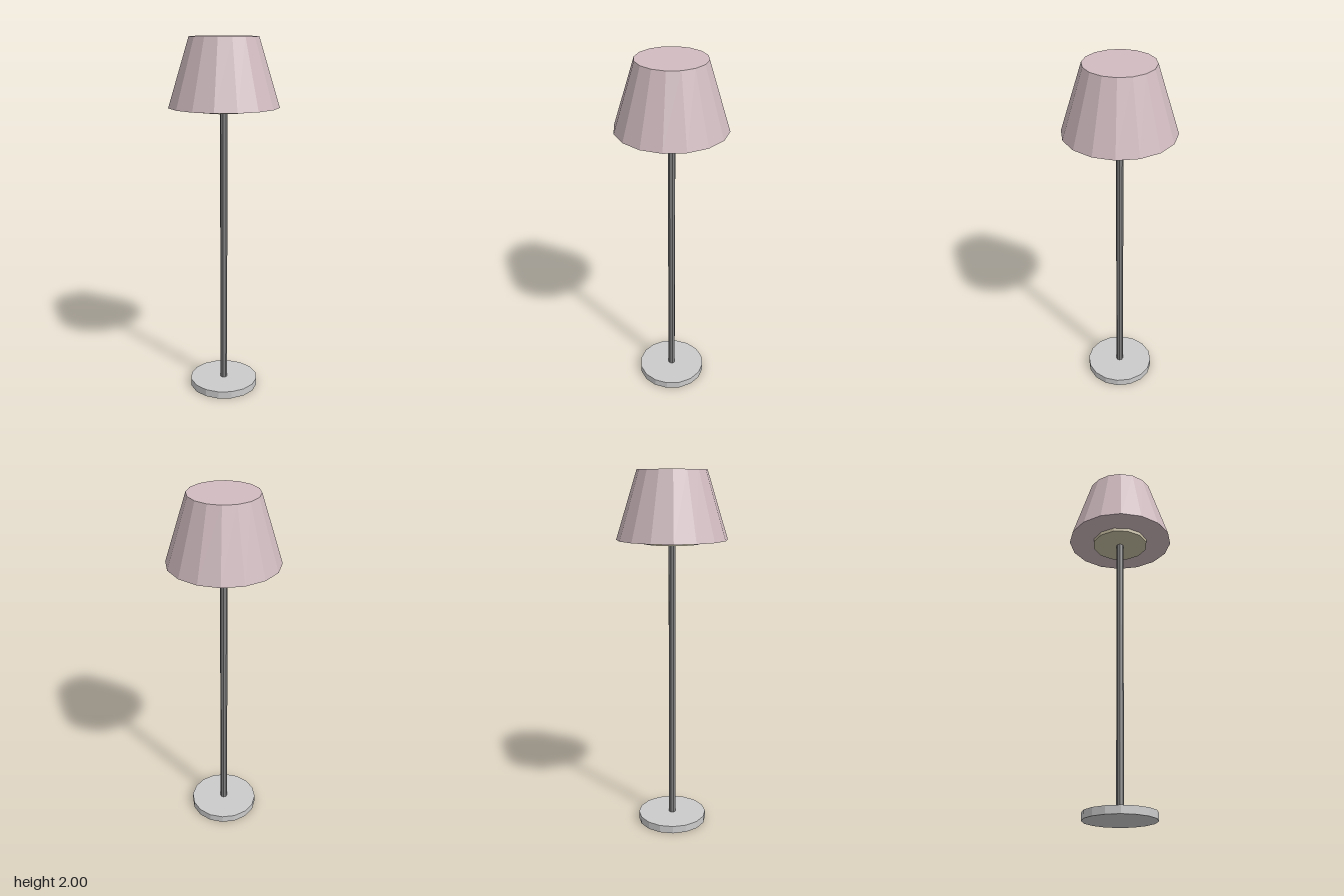
import * as THREE from 'three';

// Flat-shaded, capped cylinder or cone standing between two heights
function addDisc(group, name, color, rBottom, rTop, y0, y1, sides) {
  const geometry = new THREE.CylinderGeometry(rTop, rBottom, y1 - y0, sides);
  const material = new THREE.MeshStandardMaterial({ color, flatShading: true });
  const mesh = new THREE.Mesh(geometry, material);
  mesh.name = name;
  mesh.position.y = (y0 + y1) / 2;
  group.add(mesh);
}

export function createModel() {
  const lamp = new THREE.Group();
  lamp.name = 'floorLamp';

  // Round foot and slim pole, running up into the shade
  addDisc(lamp, 'base', 0xc4c4c0, 0.195, 0.195, 0, 0.042, 16);
  addDisc(lamp, 'pole', 0x808080, 0.02, 0.02, 0.042, 1.66, 8);

  // Light disc just below the closed, tapered shade
  addDisc(lamp, 'lightDisc', 0xc8bfa4, 0.16, 0.16, 1.615, 1.65, 12);
  addDisc(lamp, 'shade', 0xd0bbc0, 0.3, 0.186, 1.635, 2, 16);

  return lamp;
}
